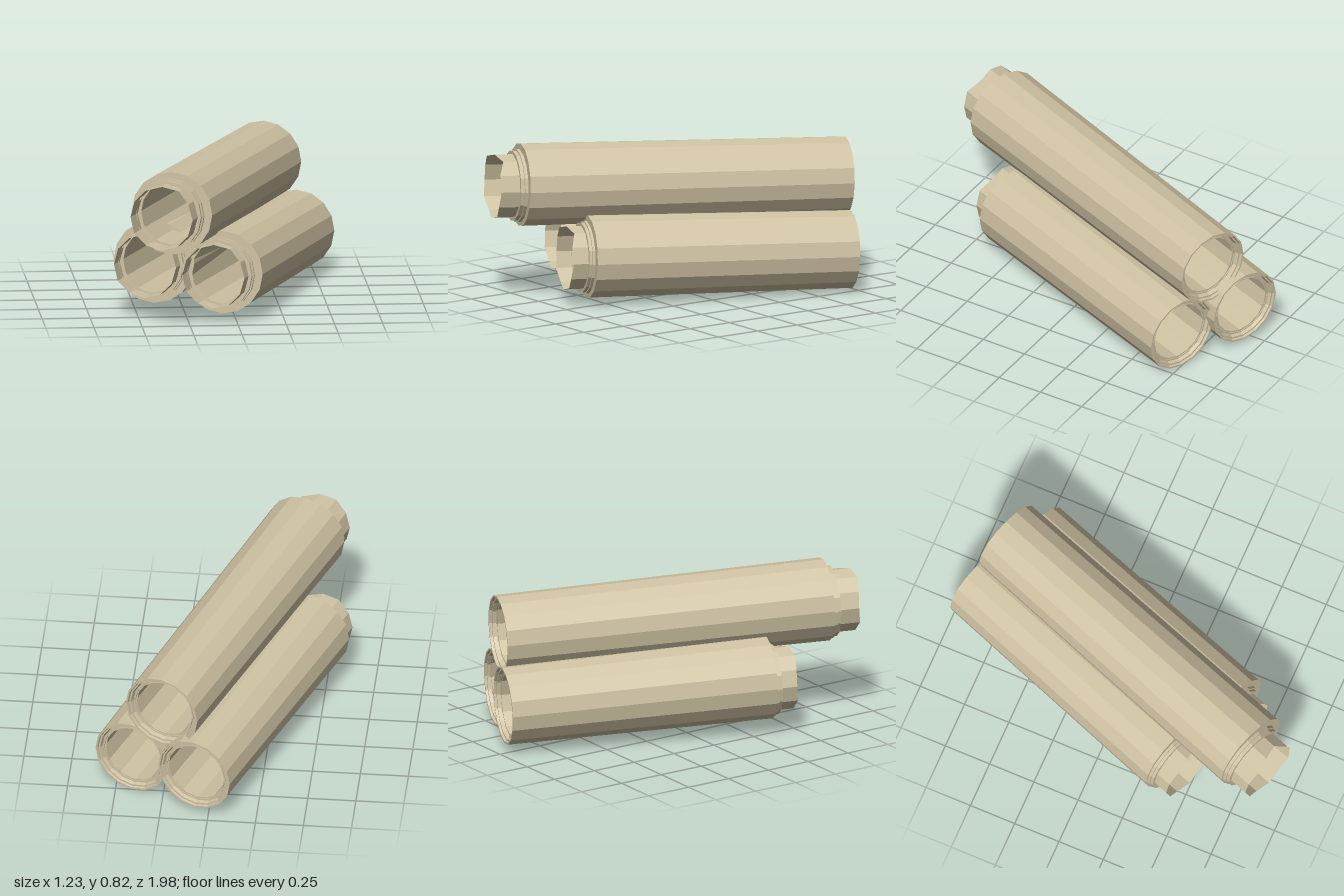
import * as THREE from 'three';

const LENGTH = 1.414;      // body length before stretching
const SHIFT_X = -0.017;    // the neck sits slightly off the tube axis
const SHIFT_Y = -0.008;
const YAW = -0.352;
const PITCH = -0.03;

const clay = new THREE.MeshStandardMaterial({ color: 0xcfc2a3, flatShading: true, side: THREE.DoubleSide });
clay.name = 'sandyBeige';

// Lathe of [radius, z] pairs around the z axis, listed from back to front
function turned(name, profile, sides) {
  const points = profile.map(([r, z]) => new THREE.Vector2(r, z));
  const geometry = new THREE.LatheGeometry(points, sides).rotateX(Math.PI / 2);
  const mesh = new THREE.Mesh(geometry, clay);
  mesh.name = name;
  return mesh;
}

// Long outer casing with a stepped, recessed back rim
function casing() {
  return turned('casing', [
    [0.158, -1.385], [0.178, -1.385], [0.184, -1.402], [0.193, -1.402],
    [0.196, -LENGTH], [0.205, -LENGTH], [0.217, 0], [0.165, 0],
  ], 16);
}

// Low collar between casing and neck
function collar() {
  const mesh = turned('collar', [
    [0.192, -0.005], [0.192, 0.014], [0.184, 0.014], [0.184, 0.03], [0.164, 0.03],
  ], 16);
  mesh.position.set(SHIFT_X, SHIFT_Y, 0);
  return mesh;
}

// Thin inner lining, open at both ends, ending in a chipped neck
function lining() {
  const chips = [0, 0.004, -0.022, -0.002, 0.012, 0.004, 0, 0.006, -0.004, 0.004, -0.003, 0.005];
  const mesh = turned('liningAndNeck', [[0.168, -1.39], [0.167, 0], [0.167, 0.111]], chips.length);
  const p = mesh.geometry.attributes.position;
  for (let i = 0; i < p.count; i++) {
    const x = p.getX(i), y = p.getY(i), z = p.getZ(i);
    const step = Math.round(Math.atan2(y, x) / (2 * Math.PI) * chips.length);
    const chip = z > 0.05 ? chips[(step + chips.length) % chips.length] : 0;
    const drift = Math.min(1, (z + LENGTH) / LENGTH);
    p.setXYZ(i, x + SHIFT_X * drift, y + SHIFT_Y * drift, z + chip);
  }
  mesh.geometry.computeVertexNormals();
  return mesh;
}

export function createModel() {
  const model = new THREE.Group();
  model.name = 'tubeStack';
  // Each tube: name, centre of the casing's front end, stretch along its length
  const tubes = [
    ['topTube', [-0.349, 0.61, 0.80], 1.235],
    ['lowerLeftTube', [-0.069, 0.25, 0.573], 1],
    ['lowerRightTube', [-0.411, 0.277, 0.40], 1],
  ];
  for (const [name, position, stretch] of tubes) {
    const tube = new THREE.Group();
    tube.name = name;
    tube.add(casing(), collar(), lining());
    tube.scale.z = stretch;
    tube.rotation.set(PITCH, YAW, 0, 'YXZ');
    tube.position.set(...position);
    model.add(tube);
  }
  return model;
}
